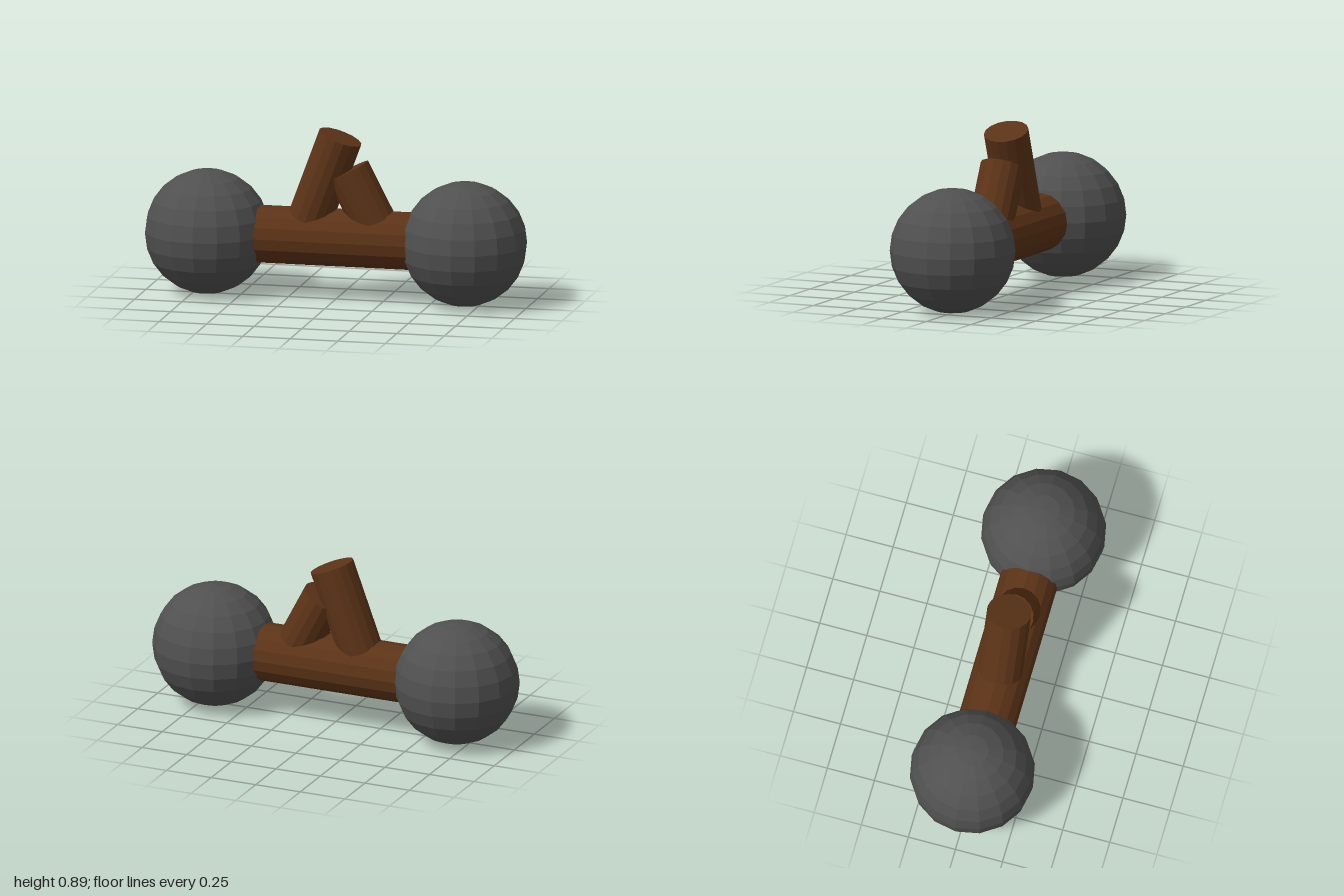
import * as THREE from 'three';

export function createModel() {
  const model = new THREE.Group();
  const wood = new THREE.MeshStandardMaterial({ color: 0x5c3317, flatShading: true });
  const iron = new THREE.MeshStandardMaterial({ color: 0x505050, flatShading: true });
  const axisY = 0.324;

  // Round wooden bar whose far end is centred on (x, y), leaning by tilt about z
  function bar(name, radius, length, x, y, tilt) {
    const geometry = new THREE.CylinderGeometry(radius, radius, length, 16);
    geometry.translate(0, -length / 2, 0);
    const mesh = new THREE.Mesh(geometry, wood);
    mesh.name = name;
    mesh.position.set(x, y, 0);
    mesh.rotation.z = tilt;
    model.add(mesh);
  }

  // Horizontal handle and the two stubs rising from it
  bar('handle', 0.15, 1.36, -0.68, axisY, Math.PI / 2);
  bar('longStub', 0.115, 0.52, 0.023, 0.85, -0.355);
  bar('shortStub', 0.115, 0.36, 0.063, 0.676, 0.48);

  // A ball on each end
  for (const side of [-1, 1]) {
    const ball = new THREE.Mesh(new THREE.SphereGeometry(0.322, 16, 12), iron);
    ball.name = side > 0 ? 'leftBall' : 'rightBall';
    ball.position.set(side * 0.678, axisY, 0);
    model.add(ball);
  }
  return model;
}
